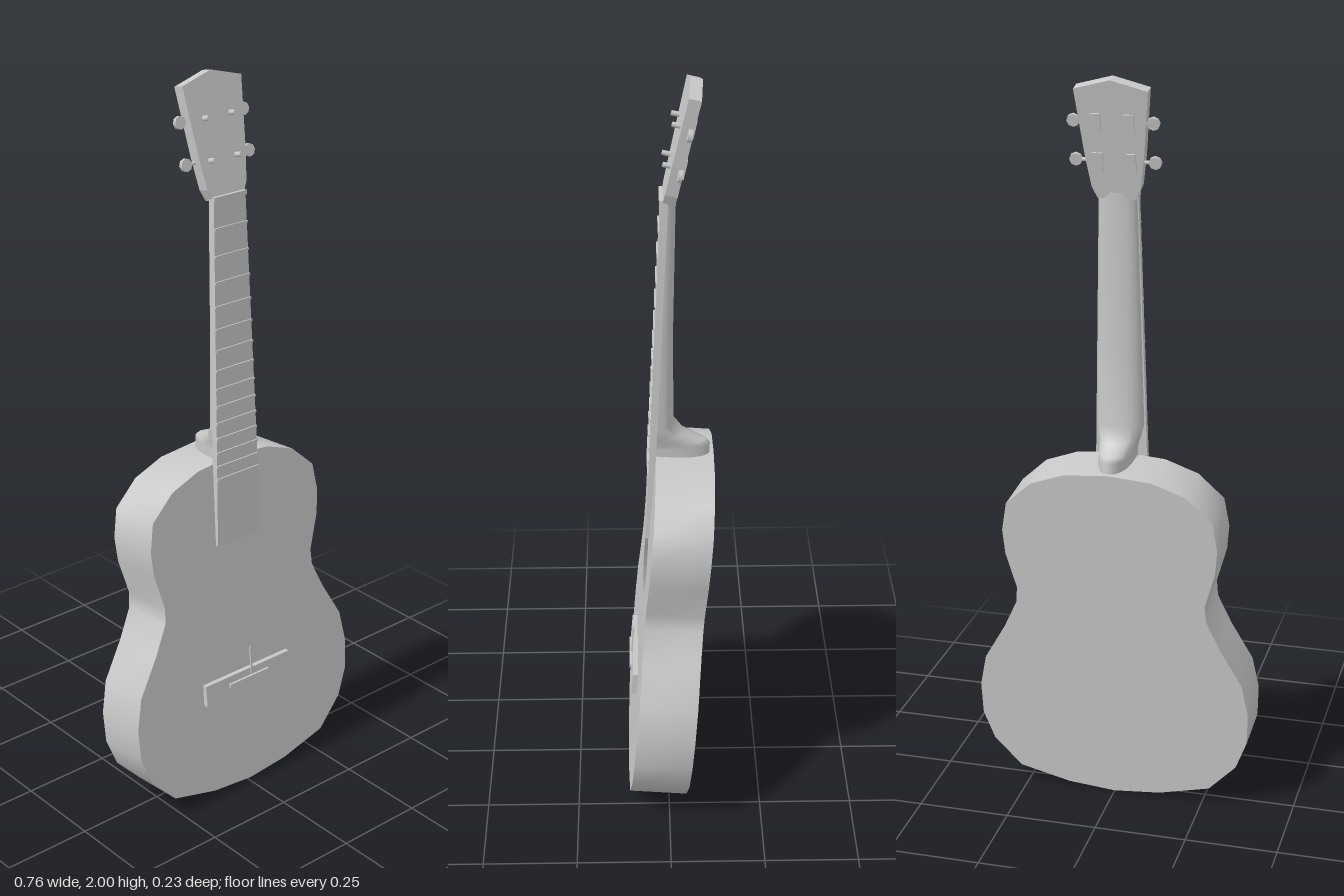
import * as THREE from 'three';

const grey = new THREE.MeshStandardMaterial({ color: 0xc8c8c8, side: THREE.DoubleSide });
grey.name = 'lightGrey';

function add(parent, name, geometry, x = 0, y = 0, z = 0) {
  const m = new THREE.Mesh(geometry, grey);
  m.name = name;
  m.position.set(x, y, z);
  parent.add(m);
  return m;
}

function addGroup(parent, name, y, z, lean) {
  const g = new THREE.Group();
  g.name = name;
  g.position.set(0, y, z);
  g.rotation.x = -lean;
  parent.add(g);
  return g;
}

// Skin between rings of [x, y, z] points
function loft(rings, closed) {
  const n = rings[0].length, index = [];
  for (let r = 0; r < rings.length - 1; r++) {
    for (let i = 0; i < (closed ? n : n - 1); i++) {
      const a = r * n + i, b = r * n + (i + 1) % n;
      index.push(a, b, a + n, b, b + n, a + n);
    }
  }
  const g = new THREE.BufferGeometry();
  g.setAttribute('position', new THREE.Float32BufferAttribute(rings.flat(2), 3));
  g.setIndex(index);
  g.computeVertexNormals();
  return g;
}

// Hollow body: front with sound hole, back and curved sides
function buildBody(root) {
  const body = addGroup(root, 'body', 0, 0.113, 0.082);
  const depth = 0.155;
  const half = [[0.13, 0.025], [0.27, 0.06], [0.345, 0.14], [0.375, 0.22], [0.378, 0.31],
    [0.36, 0.4], [0.3, 0.505], [0.263, 0.585], [0.26, 0.63], [0.288, 0.73], [0.294, 0.8],
    [0.28, 0.88], [0.21, 0.945], [0.12, 0.978]];
  const outline = [[0, 0.013], ...half, [0, 0.988],
    ...half.slice().reverse().map(([x, y]) => [-x, y])];
  const points = outline.map(([x, y]) => new THREE.Vector2(x, y));

  const front = new THREE.Shape(points);
  const hole = [];
  for (let i = 0; i < 9; i++) {
    const a = Math.PI / 2 - i * Math.PI * 2 / 9;
    hole.push(new THREE.Vector2(0.108 * Math.cos(a), 0.645 + 0.092 * Math.sin(a)));
  }
  front.holes.push(new THREE.Path(hole));
  add(body, 'soundboard', new THREE.ShapeGeometry(front));

  const back = new THREE.ShapeGeometry(new THREE.Shape(points));
  back.rotateY(Math.PI);
  add(body, 'backPanel', back, 0, 0, -depth);

  const ring = z => outline.map(([x, y]) => [x, y, z]);
  add(body, 'sides', loft([ring(-depth), ring(0)], true));

  // Bridge with saddle and a loose string end
  add(body, 'bridge', new THREE.BoxGeometry(0.3, 0.062, 0.014), 0, 0.33, 0.007);
  add(body, 'saddle', new THREE.BoxGeometry(0.14, 0.01, 0.008), 0, 0.335, 0.017);
  add(body, 'stringEnd', new THREE.BoxGeometry(0.005, 0.08, 0.004), 0.01, 0.385, 0.016);
}

// Rounded neck running into the heel: [y, half width, front z, back z]
function buildNeck(root) {
  const sections = [[0.94, 0.045, 0.035, -0.112], [1.0, 0.045, 0.035, -0.112],
    [1.012, 0.047, 0.035, -0.1], [1.035, 0.055, 0.034, -0.045], [1.07, 0.064, 0.032, -0.016],
    [1.3, 0.059, 0.022, -0.014], [1.64, 0.052, 0.007, -0.02], [1.7, 0.05, 0.004, -0.022]];
  const rings = sections.map(([y, w, f, b]) => {
    const ring = [];
    for (let i = 0; i <= 10; i++) {
      const a = Math.PI * i / 10;
      ring.push([w * Math.cos(a), y, f - (f - b) * Math.pow(Math.max(0, Math.sin(a)), 0.7)]);
    }
    return ring;
  });
  add(root, 'neck', loft(rings, false));

  // Tapered fingerboard and frets
  const board = addGroup(root, 'fingerboard', 0.75, 0.06, 0.045);
  const length = 0.945;
  const halfWidth = y => 0.076 - 0.024 * y / length;
  const slab = new THREE.Shape([[-1, 0], [1, 0], [1, length], [-1, length]]
    .map(([s, y]) => new THREE.Vector2(s * halfWidth(y), y)));
  add(board, 'fingerboardSlab',
    new THREE.ExtrudeGeometry(slab, { depth: 0.018, bevelEnabled: false }), 0, 0, -0.018);
  for (let i = 1; i <= 14; i++) {
    const y = length - 1.36 * (1 - Math.pow(2, -i / 12));
    add(board, 'fret', new THREE.BoxGeometry(halfWidth(y) * 2, 0.006, 0.005), 0, y, 0.0015);
  }
  add(board, 'nut', new THREE.BoxGeometry(0.106, 0.012, 0.016), 0, length, -0.004);
}

// Headstock leaning back, with four tuners
function buildHeadstock(root) {
  const head = addGroup(root, 'headstock', 1.69, 0.014, 0.22);
  const half = [[0.05, 0], [0.064, 0.03], [0.076, 0.11], [0.095, 0.292]];
  const shape = new THREE.Shape([...half, [0, 0.318],
    ...half.slice().reverse().map(([x, y]) => [-x, y])].map(([x, y]) => new THREE.Vector2(x, y)));
  add(head, 'headPlate',
    new THREE.ExtrudeGeometry(shape, { depth: 0.032, bevelEnabled: false }), 0, 0, -0.032);

  for (const side of [-1, 1]) {
    for (const y of [0.1, 0.205]) {
      const post = new THREE.CylinderGeometry(0.007, 0.007, 0.022, 8);
      post.rotateX(Math.PI / 2);
      add(head, 'tunerPost', post, side * 0.043, y, 0.01);
      add(head, 'tunerPlate', new THREE.BoxGeometry(0.026, 0.05, 0.006), side * 0.043, y, -0.034);
      const shaft = new THREE.CylinderGeometry(0.005, 0.005, 0.05, 6);
      shaft.rotateZ(Math.PI / 2);
      add(head, 'tunerShaft', shaft, side * 0.08, y, -0.022);
      const button = new THREE.CylinderGeometry(0.017, 0.017, 0.01, 8);
      button.rotateX(Math.PI / 2);
      add(head, 'tunerButton', button, side * 0.103, y, -0.022);
    }
  }
}

export function createModel() {
  const root = new THREE.Group();
  root.name = 'guitar';
  buildBody(root);
  buildNeck(root);
  buildHeadstock(root);
  return root;
}
